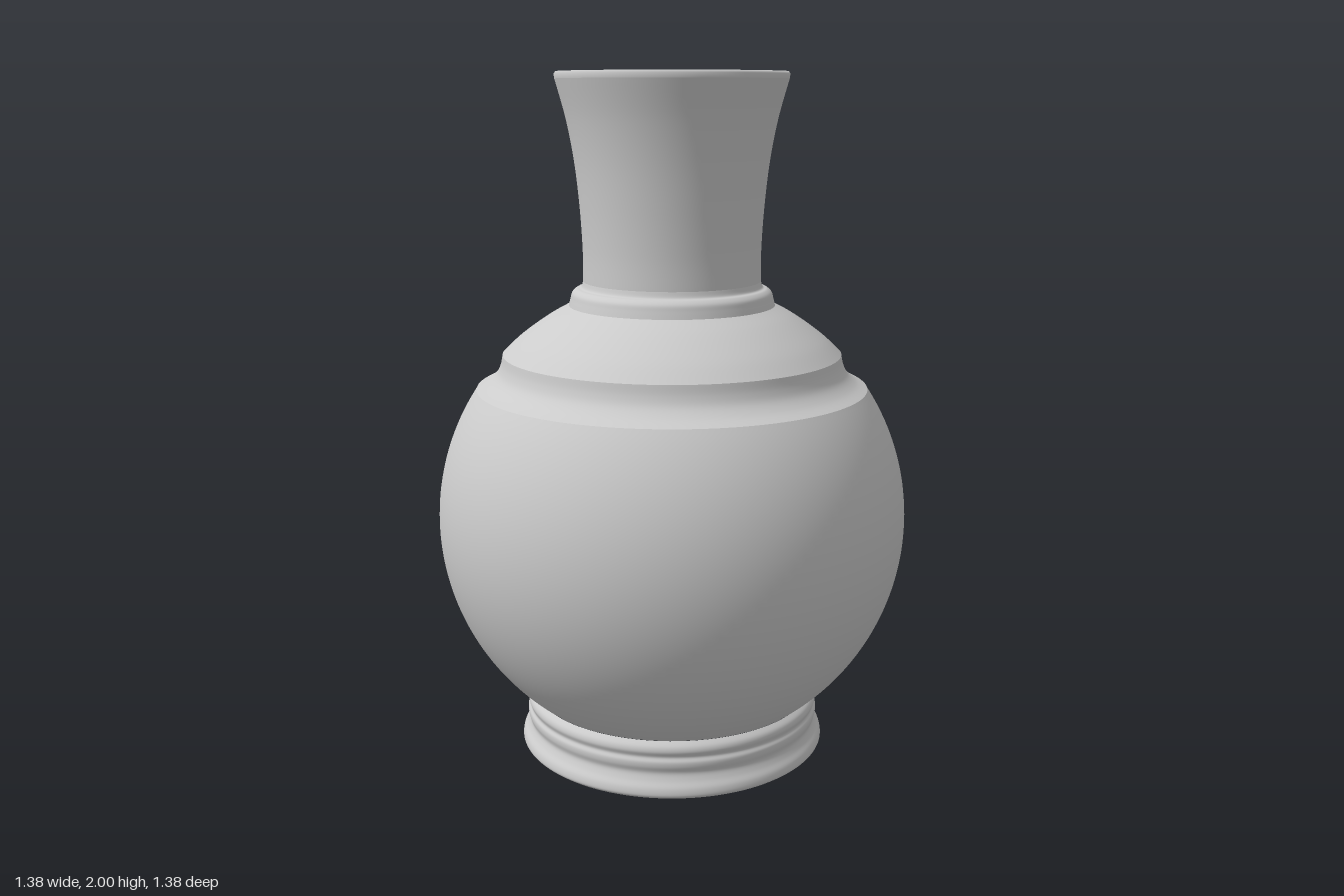
import * as THREE from 'three';

const SEGMENTS = 128;

// Turn a list of [radius, height] points around the y axis
function turned(name, points, samples = 0) {
  let profile = points.map(([r, y]) => new THREE.Vector2(r, y));
  if (samples) profile = new THREE.SplineCurve(profile).getPoints(samples);
  const material = new THREE.MeshStandardMaterial({ color: 0xcccccc });
  const mesh = new THREE.Mesh(new THREE.LatheGeometry(profile, SEGMENTS), material);
  mesh.name = name;
  return mesh;
}

// Points on a circular arc about (0, cy), running from height y0 to y1
function arc(radius, cy, y0, y1, steps) {
  const a0 = Math.asin((y0 - cy) / radius), a1 = Math.asin((y1 - cy) / radius);
  return Array.from({ length: steps + 1 }, (_, i) => {
    const a = a0 + (a1 - a0) * i / steps;
    return [radius * Math.cos(a), cy + radius * Math.sin(a)];
  });
}

export function createModel() {
  const vase = new THREE.Group();
  vase.name = 'vase';
  vase.add(
    // Foot: flat underside and moulded ring
    turned('footUnderside', [[0, 0], [0.45, 0]]),
    turned('footRing', [[0.45, 0], [0.46, 0.01], [0.457, 0.03], [0.445, 0.05], [0.438, 0.07],
      [0.443, 0.09], [0.443, 0.105], [0.437, 0.118], [0.442, 0.135], [0.438, 0.15], [0.425, 0.163]], 50),
    // Spherical belly
    turned('belly', arc(0.692, 0.71, 0.163, 1.1, 64)),
    // Cove step and sloping shoulder
    turned('shoulderCove', [[0.573, 1.1], [0.54, 1.118], [0.514, 1.142], [0.501, 1.17], [0.495, 1.2]], 24),
    turned('shoulder', [[0.495, 1.2], [0.45, 1.242], [0.4, 1.28], [0.35, 1.313], [0.3, 1.34]], 24),
    // Collar at the root of the neck
    turned('collar', [[0.3, 1.34], [0.295, 1.36], [0.29, 1.377], [0.278, 1.388], [0.264, 1.393], [0.258, 1.41]], 24),
    // Flared neck
    turned('neck', [[0.258, 1.41], [0.258, 1.5], [0.265, 1.62], [0.279, 1.75], [0.301, 1.87], [0.331, 1.98]], 40),
    // Flat lip with softened edges
    turned('lip', [[0.331, 1.98], [0.333, 1.993], [0.328, 2], [0.297, 2], [0.289, 1.997], [0.284, 1.985]]),
    // Hollow inside
    turned('neckInside', [[0.284, 1.985], [0.255, 1.87], [0.233, 1.75], [0.217, 1.62], [0.208, 1.5], [0.206, 1.39]], 40),
    turned('shoulderInside', [[0.206, 1.39], [0.24, 1.32], [0.34, 1.26], [0.44, 1.18], [0.52, 1.09]], 24),
    turned('bellyInside', arc(0.644, 0.71, 1.09, 0.19, 48)),
    turned('floorInside', [[0.379, 0.19], [0, 0.19]])
  );
  return vase;
}
